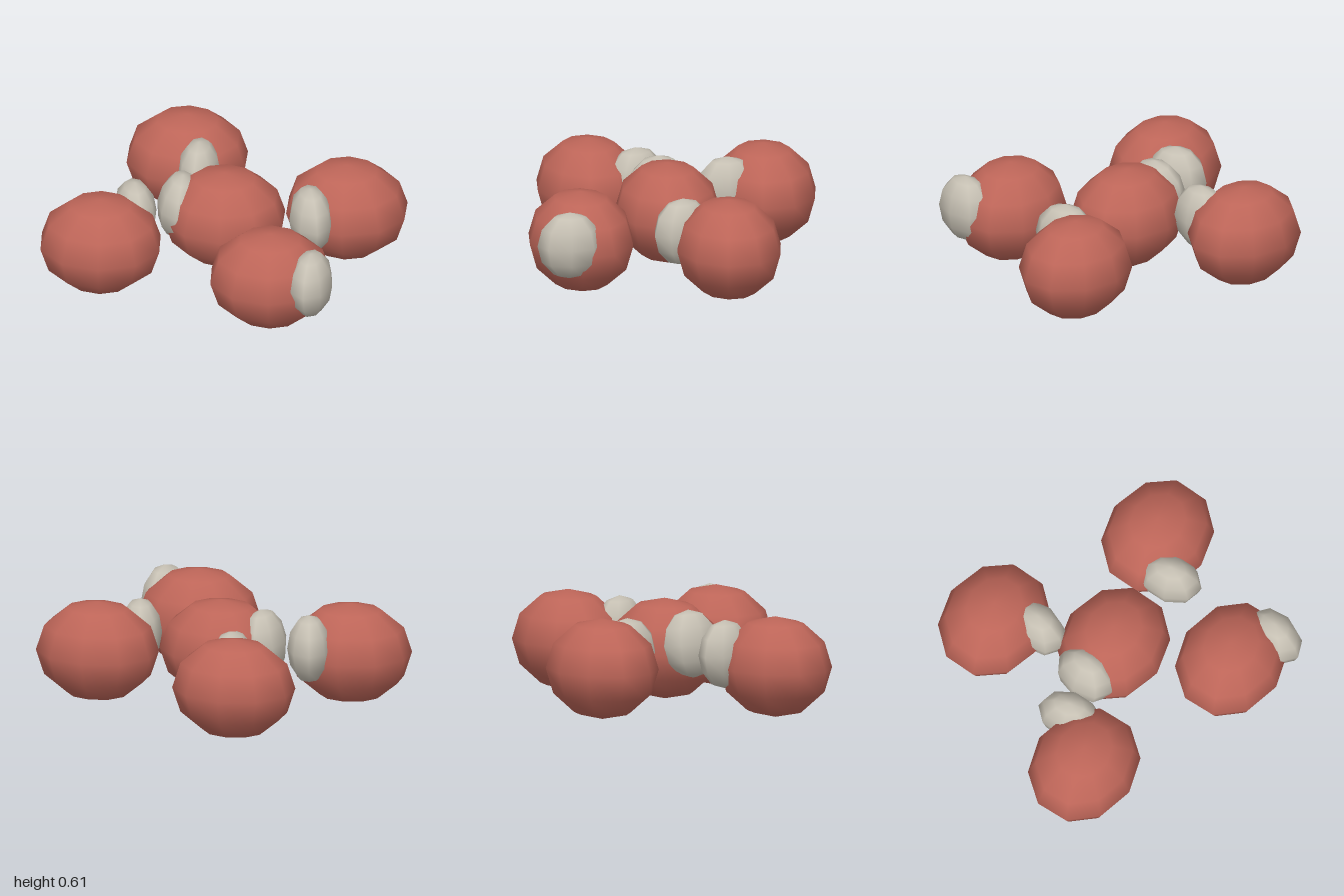
import * as THREE from 'three';

const berryMat = new THREE.MeshStandardMaterial({ color: 0xbd6558 });
berryMat.name = 'berry red';
const stoneMat = new THREE.MeshStandardMaterial({ color: 0xc6c0b3 });
stoneMat.name = 'pale stone';

// Faceted but smoothly shaded ellipsoid, first corner turned onto the z axis
function ellipsoid(segments, rings, rx, ry, rz) {
  return new THREE.SphereGeometry(1, segments, rings).rotateY(Math.PI / 2).scale(rx, ry, rz);
}

// Berry centre and turn; pale spot centre and rotation (x, y, z)
const berries = [
  { name: 'centreBerry', at: [0, 0.333, 0.018], turn: 0, spot: [-0.255, 0.39, 0.01], rot: [0, 0, -0.12] },
  { name: 'rightBerry', at: [-0.665, 0.29, 0.295], turn: 0.05, spot: [-0.495, 0.36, 0.07], rot: [0, 0.3, 0] },
  { name: 'backBerry', at: [-0.268, 0.312, -0.605], turn: 0, spot: [-0.18, 0.37, -0.37], rot: [0, -0.08, 0] },
  { name: 'leftBerry', at: [0.665, 0.312, -0.16], turn: 0, spot: [0.485, 0.37, 0.06], rot: [0, 0.3, 0] },
  { name: 'frontBerry', at: [0.312, 0.312, 0.598], turn: 0.05, spot: [0.55, 0.365, 0.725], rot: [0, -0.15, 0] },
];

export function createModel() {
  const model = new THREE.Group();
  model.name = 'berryCluster';
  const berryGeo = ellipsoid(10, 6, 0.347, 0.283, 0.297);
  const spotGeo = ellipsoid(8, 6, 0.122, 0.192, 0.18);

  for (const { name, at, turn, spot, rot } of berries) {
    const group = new THREE.Group();
    group.name = name;
    // Round red body
    const body = new THREE.Mesh(berryGeo, berryMat);
    body.name = 'body';
    body.position.set(...at);
    body.rotation.y = turn;
    // Pale lump sunk into the side
    const lump = new THREE.Mesh(spotGeo, stoneMat);
    lump.name = 'paleSpot';
    lump.position.set(...spot);
    lump.rotation.set(...rot);
    group.add(body, lump);
    model.add(group);
  }
  return model;
}
